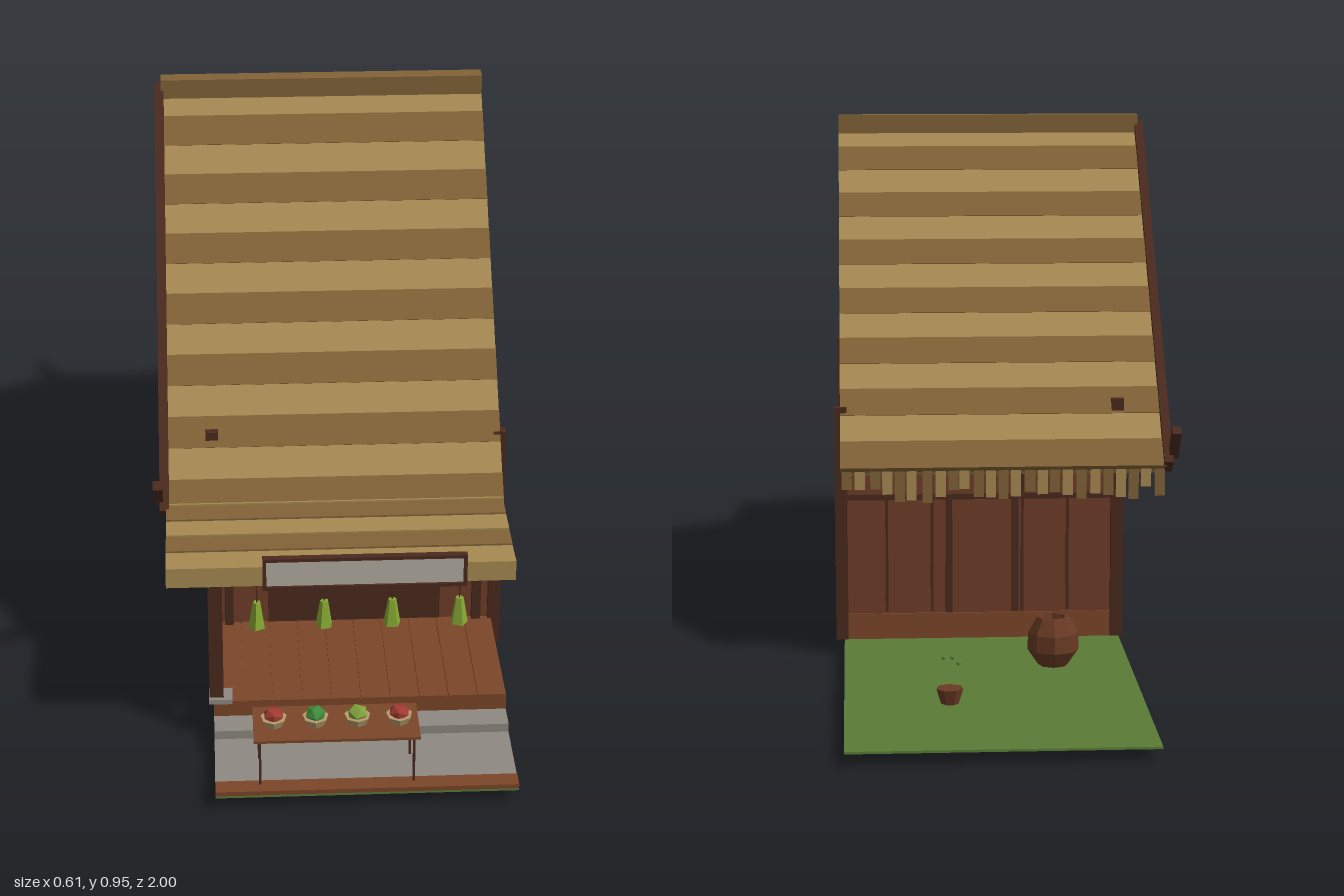
import * as THREE from 'three';

const C = {
  wall: 0x6f3d27, dark: 0x4a2a1e, deck: 0x7c4629, thatch: 0xa88a52, thatchDark: 0x826337,
  grass: 0x5a7c37, stone: 0x8e8a82, green: 0x86a832, pane: 0x1d1d22, clay: 0x6a3a24, panel: 0xb4aea2,
};
const mats = {};
const mat = (color) => (mats[color] ??= new THREE.MeshStandardMaterial({ color, flatShading: true, side: THREE.DoubleSide }));

function add(parent, name, geo, color, x = 0, y = 0, z = 0) {
  const m = new THREE.Mesh(geo, mat(color));
  m.name = name;
  m.position.set(x, y, z);
  parent.add(m);
  return m;
}
// Box given by its limits on each axis
function box(parent, name, color, x0, x1, y0, y1, z0, z1) {
  return add(parent, name, new THREE.BoxGeometry(x1 - x0, y1 - y0, z1 - z0), color,
    (x0 + x1) / 2, (y0 + y1) / 2, (z0 + z1) / 2);
}
function group(parent, name) {
  const g = new THREE.Group();
  g.name = name;
  parent.add(g);
  return g;
}
let seed = 7;
const rnd = () => (seed = (seed * 16807) % 2147483647) / 2147483647;

const RIDGE_Y = 0.935, RIDGE_Z = 0.115, RUN = 0.53, DROP = 0.575;
const X0 = -0.21, X1 = 0.29;

function buildGround(root) {
  const g = group(root, 'ground');
  box(g, 'lawn', C.grass, X0, X1, 0.023, 0.027, -1, 1);
  box(g, 'stonePath', C.stone, X0, X1, 0.027, 0.031, 0.8, 0.97);
  box(g, 'woodCurb', C.deck, X0, X1, 0.025, 0.035, 0.97, 1);
  box(g, 'frontStep', C.stone, X0, X1, 0.027, 0.047, 0.8, 0.845);
}

function buildHouse(root) {
  const g = group(root, 'house');
  box(g, 'foundation', C.deck, X0, X1, 0.027, 0.074, -0.325, 0.8);
  for (let i = 0; i < 10; i++) // porch planks
    box(g, 'deckPlank', C.deck, X0 + i * 0.05 + 0.001, X0 + i * 0.05 + 0.049, 0.073, 0.079, 0.555, 0.803);
  box(g, 'body', C.wall, -0.2, X1, 0.074, 0.453, -0.322, 0.552);

  // Closed gable on the right side only
  const tri = new THREE.Shape([[-0.44, 0.45], [0.44, 0.45], [0, 0.89]].map(p => new THREE.Vector2(...p)));
  const gable = add(g, 'gableWall', new THREE.ExtrudeGeometry(tri, { depth: 0.012, bevelEnabled: false }), C.wall, -0.2, 0, RIDGE_Z);
  gable.rotation.y = Math.PI / 2;

  // Corner posts
  for (const x of [-0.205, 0.294])
    for (const z of [0.553, -0.328])
      box(g, 'cornerPost', C.dark, x - 0.011, x + 0.011, 0.03, x < 0 ? 0.468 : 0.457, z - 0.01, z + 0.01);

  // Right wall battens and rails
  for (let i = 1; i < 9; i++) {
    const z = -0.325 + i * 0.098, top = 0.87 - Math.abs(z - RIDGE_Z) * 1.05;
    box(g, 'wallBatten', C.dark, -0.204, -0.199, 0.078, top, z - 0.003, z + 0.003);
  }
  for (const y of [0.2, 0.335, 0.455])
    box(g, 'wallRail', C.dark, -0.205, -0.199, y - 0.004, y + 0.004, -0.32, 0.55);

  // Side window
  const w = group(g, 'window');
  box(w, 'windowPane', C.pane, -0.208, -0.199, 0.18, 0.32, -0.1, 0.03);
  for (const z of [-0.105, -0.035, 0.035]) box(w, 'windowUpright', C.dark, -0.214, -0.199, 0.175, 0.325, z - 0.006, z + 0.006);
  for (const y of [0.175, 0.325]) box(w, 'windowRail', C.dark, -0.224, -0.199, y - 0.006, y + 0.006, -0.12, 0.05);

  // Back wall battens and door
  for (let i = 1; i < 6; i++)
    box(g, 'backBatten', C.dark, -0.2 + i * 0.082, -0.195 + i * 0.082, 0.078, 0.4, -0.327, -0.32);
  box(g, 'backRail', C.dark, -0.2, X1, 0.285, 0.295, -0.328, -0.32);
  box(g, 'backDoor', C.wall, -0.02, 0.1, 0.078, 0.285, -0.329, -0.32);
  for (const x of [-0.02, 0.1]) box(g, 'backDoorPost', C.dark, x - 0.006, x + 0.006, 0.078, 0.295, -0.334, -0.32);

  // Front doorway and uprights
  box(g, 'doorway', C.dark, -0.11, 0.197, 0.079, 0.4, 0.55, 0.556);
  for (const x of [-0.18, 0.262]) box(g, 'frontPost', C.dark, x - 0.008, x + 0.008, 0.079, 0.4, 0.55, 0.564);
  for (const x of [-0.145, 0.23]) box(g, 'frontRail', C.dark, x - 0.035, x + 0.035, 0.222, 0.228, 0.55, 0.558);
}

function buildRoof(root) {
  const roof = group(root, 'roof');
  const len = Math.hypot(RUN, DROP), tilt = Math.atan2(DROP, RUN), strips = 14;
  for (const s of [1, -1]) {
    const turn = group(roof, s > 0 ? 'frontSlope' : 'backSlope');
    turn.position.set(0, RIDGE_Y, RIDGE_Z);
    turn.rotation.y = s > 0 ? 0 : Math.PI;
    const g = group(turn, 'slope');
    g.rotation.x = tilt;
    const span = (name, color, x0, x1, ...r) => s > 0
      ? box(g, name, color, x0, x1, ...r) : box(g, name, color, -x1, -x0, ...r);
    span('roofSlab', C.thatch, -0.283, 0.293, -0.036, -0.008, 0.02, len - 0.008);
    // Thatch courses: a light upper half, then a dark lower half with a small step
    for (let i = 0; i < strips; i++) {
      const a = i * len / strips, odd = i % 2;
      const strip = span('thatchCourse', odd ? C.thatchDark : C.thatch, -0.285, 0.295, -0.012, odd ? 0.003 : 0, a, a + len / strips);
      strip.rotation.x = 0.03;
    }
    span('bargeboard', C.dark, -0.296, -0.28, -0.02, 0.012, 0, len);
    const stake = span('gableStake', C.dark, -0.306, -0.29, 0.0, 0.07, len - 0.035, len - 0.018);
    stake.rotation.x = -0.12;
  }
  box(roof, 'ridgeCap', C.thatchDark, -0.285, 0.295, 0.92, 0.955, RIDGE_Z - 0.016, RIDGE_Z + 0.016);

  // Ragged straw along both eaves
  for (const z of [0.632, -0.405])
    for (let i = 0; i < 25; i++) {
      const x = -0.273 + i * 0.0231 + (rnd() - 0.5) * 0.006, low = 0.294 + rnd() * 0.03;
      box(roof, 'strawFringe', i % 2 ? C.thatch : C.thatchDark, x - 0.009, x + 0.009, low, 0.365, z - 0.003, z + 0.003);
    }
}

function buildPorch(root) {
  const g = group(root, 'porch');
  box(g, 'porchRoof', C.thatch, -0.285, 0.293, 0.33, 0.356, 0.565, 0.835);
  for (let i = 0; i < 5; i++)
    box(g, 'porchThatch', i % 2 ? C.thatchDark : C.thatch, -0.285, 0.293, 0.352, 0.372 - i * 0.002, 0.595 + i * 0.048, 0.641 + i * 0.048);
  box(g, 'porchEdge', C.thatch, -0.285, 0.293, 0.33, 0.366, 0.828, 0.842);
  box(g, 'porchPost', C.dark, -0.217, -0.193, 0.079, 0.335, 0.78, 0.8);
  box(g, 'postFoot', C.stone, -0.218, -0.178, 0.076, 0.085, 0.772, 0.808);

  // Blank signboard in a dark frame
  box(g, 'signPanel', C.panel, -0.12, 0.205, 0.333, 0.382, 0.843, 0.85);
  for (const y of [0.331, 0.384]) box(g, 'signFrame', C.dark, -0.126, 0.211, y - 0.003, y + 0.003, 0.842, 0.854);
  for (const x of [-0.123, 0.208]) box(g, 'signFrame', C.dark, x - 0.003, x + 0.003, 0.33, 0.386, 0.842, 0.854);

  // Hanging tapered bundles
  for (const x of [-0.135, -0.022, 0.092, 0.205]) {
    box(g, 'hangingString', C.dark, x - 0.001, x + 0.001, 0.272, 0.332, 0.799, 0.801);
    const b = add(g, 'hangingBundle', new THREE.CylinderGeometry(0.007, 0.015, 0.048, 5), C.green, x, 0.249, 0.8);
    b.rotation.y = x * 20;
  }
}

function buildTable(root) {
  const g = group(root, 'foodTable');
  box(g, 'tableTop', C.deck, -0.146, 0.127, 0.12, 0.125, 0.89, 0.988);
  for (const x of [-0.136, 0.117])
    for (const z of [0.9, 0.98]) box(g, 'tableLeg', C.dark, x - 0.002, x + 0.002, 0.03, 0.12, z - 0.002, z + 0.002);
  [0xa03a30, 0x3f8a3c, 0x7fa03a, 0xa03a30].forEach((color, i) => {
    const x = -0.112 + i * 0.069;
    add(g, 'basket', new THREE.CylinderGeometry(0.022, 0.016, 0.014, 7), 0xb39a6a, x, 0.132, 0.94);
    const heap = add(g, 'produce', new THREE.IcosahedronGeometry(0.018, 0), color, x, 0.143, 0.94);
    heap.scale.y = 0.75;
    heap.rotation.y = i;
  });
}

function buildYard(root) {
  const g = group(root, 'yard');
  const jar = [[0, 0], [0.026, 0], [0.045, 0.028], [0.044, 0.058], [0.028, 0.086], [0.022, 0.086], [0.02, 0.07], [0, 0.07]];
  add(g, 'clayJar', new THREE.LatheGeometry(jar.map(p => new THREE.Vector2(...p)), 8), C.clay, -0.075, 0.028, -0.515);
  // Small pot with sprigs and loose leaves
  const pot = group(g, 'plantPot');
  pot.position.set(0.115, 0, -0.745);
  add(pot, 'pot', new THREE.CylinderGeometry(0.023, 0.015, 0.026, 7), C.clay, 0, 0.041, 0);
  for (let i = 0; i < 7; i++) {
    const a = i * Math.PI * 2 / 7, dx = Math.cos(a), dz = Math.sin(a);
    const sprig = add(pot, 'sprig', new THREE.ConeGeometry(0.003, 0.036, 4), C.grass, dx * 0.014, 0.016, dz * 0.014);
    sprig.quaternion.setFromUnitVectors(new THREE.Vector3(0, 1, 0), new THREE.Vector3(dx * 0.7, -0.75, dz * 0.7).normalize());
    if (i % 2) add(pot, 'leaf', new THREE.OctahedronGeometry(0.004), C.grass, dx * 0.016, 0.094 + (i % 3) * 0.008, dz * 0.016);
  }
}

export function createModel() {
  const root = new THREE.Group();
  root.name = 'thatchedShop';
  [buildGround, buildHouse, buildRoof, buildPorch, buildTable, buildYard].forEach(f => f(root));
  return root;
}
